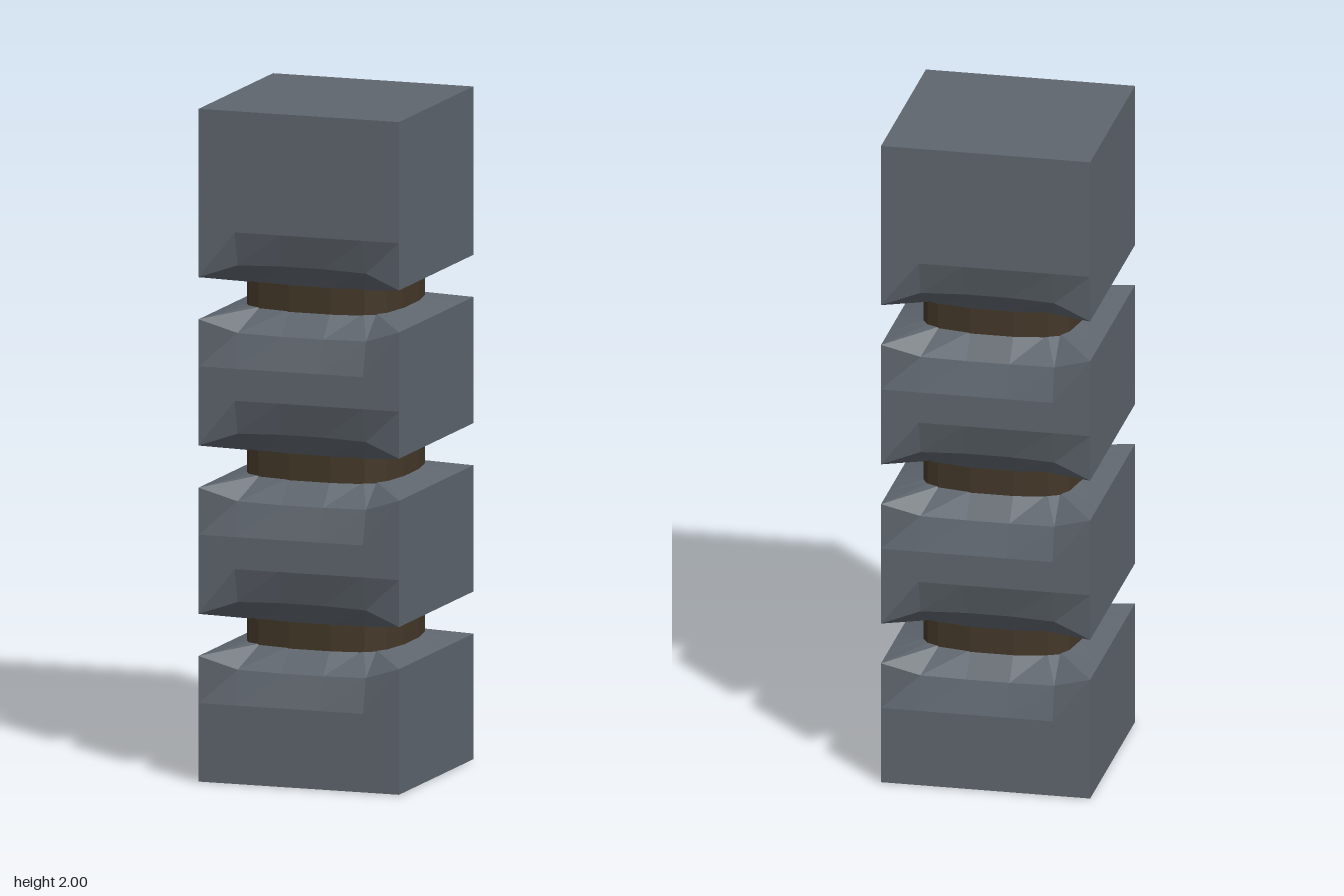
import * as THREE from 'three';

const A = 0.3125;                                   // half width of the post
const STEPS = [-A, -0.2, -0.065, 0.065, 0.2];       // points along each side, corner first

const slate = new THREE.MeshStandardMaterial({ color: 0x5f666e });
slate.name = 'slate';
const brown = new THREE.MeshStandardMaterial({ color: 0x443829 });
brown.name = 'dark brown';
for (const m of [slate, brown]) m.flatShading = true;

// Ring of 20 points; point(side, step) gives [along, depth, y]. Sides: front, left, back, right.
function ring(point) {
  const pts = [];
  for (let k = 0; k < 4; k++) {
    const c = Math.round(Math.cos(k * Math.PI / 2)), s = Math.round(Math.sin(k * Math.PI / 2));
    for (let i = 0; i < 5; i++) {
      const [u, d, y] = point(k, i);
      pts.push([u * c + d * s, y, -u * s + d * c]);
    }
  }
  return pts;
}

const squareRing = (y) => ring((k, i) => [STEPS[i], A, y]);

// Slightly bulging rounded square of the inner core
function coreRing(y, scale = 1) {
  return ring((k, i) => {
    const wide = k % 2 === 1;
    const half = wide
      ? [[-0.19, 0.2], [-0.16, 0.218], [-0.065, 0.235]]
      : [[-0.2, 0.19], [-0.165, 0.207], [-0.065, 0.225]];
    const [u, d] = half[i < 3 ? i : 5 - i];
    return [(i < 3 ? u : -u) * scale, d * scale, y];
  });
}

// Rim of a groove: straight on the sides, scooped inward on front and back
function rimRing(y, dir) {
  return ring((k, i) => {
    const scooped = k % 2 === 0 && i > 0;
    const centre = i === 2 || i === 3;
    if (!scooped) return [STEPS[i], A, y];
    return [STEPS[i], centre ? 0.282 : 0.287, y + dir * (centre ? 0.042 : 0.038)];
  });
}

// Skin a stack of rings, bottom to top, with optional flat caps
function loft(rings, capBottom, capTop) {
  const pos = [];
  const tri = (a, b, c) => pos.push(...a, ...b, ...c);
  const n = rings[0].length;
  for (let i = 0; i < n; i++) {
    const j = (i + 1) % n;
    for (let r = 0; r < rings.length - 1; r++) {
      const lo = rings[r], hi = rings[r + 1];
      tri(lo[i], lo[j], hi[j]);
      tri(lo[i], hi[j], hi[i]);
    }
    const b = rings[0], t = rings[rings.length - 1];
    if (capBottom) tri(b[j], b[i], [0, b[0][1], 0]);
    if (capTop) tri(t[i], t[j], [0, t[0][1], 0]);
  }
  const geo = new THREE.BufferGeometry();
  geo.setAttribute('position', new THREE.Float32BufferAttribute(pos, 3));
  geo.computeVertexNormals();
  return geo;
}

export function createModel() {
  const group = new THREE.Group();
  group.name = 'groovedPost';
  const add = (name, geo, mat) => {
    const mesh = new THREE.Mesh(geo, mat);
    mesh.name = name;
    group.add(mesh);
  };

  // Four stacked blocks; facing ends slope in to the core
  const names = ['baseBlock', 'lowerBlock', 'upperBlock', 'topBlock'];
  names.forEach((name, b) => {
    const first = b === 0, last = b === 3;
    const y0 = first ? 0.002 : b * 0.5;
    const y1 = last ? 2 : b * 0.5 + 0.375;
    const rings = [];
    if (first) rings.push(squareRing(y0));
    else rings.push(coreRing(y0 - 0.028, 0.98), rimRing(y0, 1), squareRing(y0 + 0.14));
    if (last) rings.push(squareRing(y1));
    else rings.push(squareRing(y1 - 0.14), rimRing(y1, -1), coreRing(y1 + 0.028, 0.98));
    add(name, loft(rings, first, last), slate);
  });

  // Core bands showing in the grooves
  for (let b = 0; b < 3; b++) {
    const y = b * 0.5;
    add('coreBand' + (b + 1), loft([coreRing(y + 0.39), coreRing(y + 0.485)], true, true), brown);
  }

  // Core end seen from below
  add('coreEnd', loft([coreRing(0, 0.87), coreRing(0.004, 0.87)], true, false), brown);

  return group;
}
